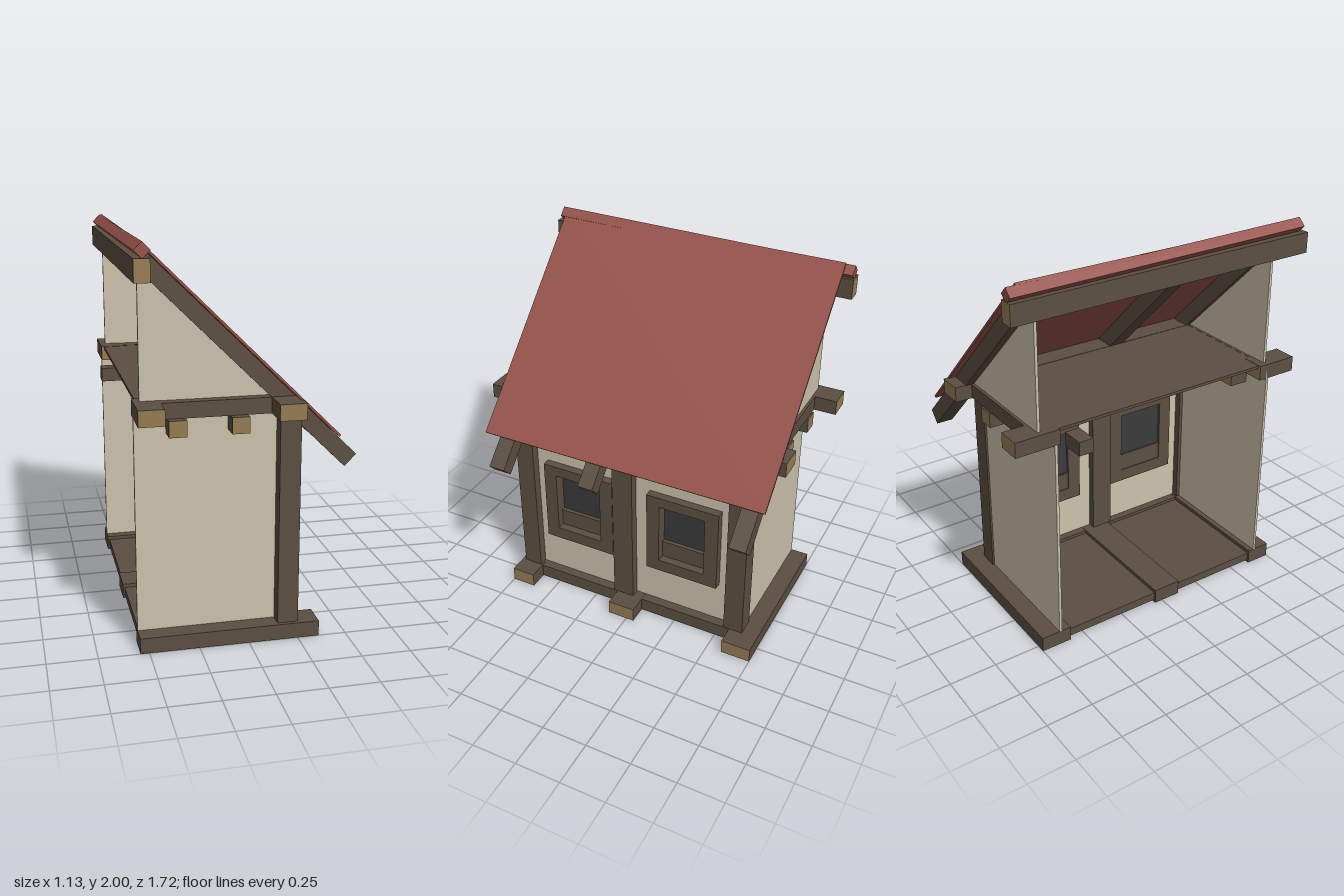
import * as THREE from 'three';

const mat = (name, color) => {
  const m = new THREE.MeshStandardMaterial({ color });
  m.name = name;
  return m;
};

export function createModel() {
  const model = new THREE.Group();
  model.name = 'timberHouse';
  const timber = mat('darkTimber', 0x5c4f42);
  const cutWood = mat('cutWood', 0x967c53);
  const plaster = mat('plaster', 0xcdc3ad);
  const roofRed = mat('roofRed', 0x95534a);
  const glass = mat('darkGlass', 0x3b3b3b);
  plaster.side = THREE.DoubleSide;

  // face order of a box: +x, -x, +y, -y, +z, -z
  const ends = (...light) => [0, 1, 2, 3, 4, 5].map(i => (light.includes(i) ? cutWood : timber));
  const add = (name, geometry, material) => {
    const mesh = new THREE.Mesh(geometry, material);
    mesh.name = name;
    model.add(mesh);
    return mesh;
  };
  // box given by its limits on each axis
  const box = (name, material, x0, x1, y0, y1, z0, z1) => {
    const mesh = add(name, new THREE.BoxGeometry(x1 - x0, y1 - y0, z1 - z0), material);
    mesh.position.set((x0 + x1) / 2, (y0 + y1) / 2, (z0 + z1) / 2);
    return mesh;
  };

  // base: three cross beams, a sill and the floor
  for (const [z0, z1] of [[0.615, 0.75], [-0.045, 0.11], [-0.75, -0.585]])
    box('baseBeam', ends(0), -0.545, 0.36, 0, 0.08, z0, z1);
  box('sill', timber, 0.15, 0.255, 0.002, 0.078, -0.7, 0.7);
  box('floor', timber, -0.535, 0.2, 0.015, 0.06, -0.7, 0.7);

  // posts along the eave side
  for (const [z0, z1] of [[0.625, 0.73], [0.01, 0.13], [-0.66, -0.55]])
    box('post', timber, 0.15, 0.255, 0.08, 1.17, z0, z1);

  // lower end walls
  box('endWall', plaster, -0.545, 0.17, 0.08, 1.235, 0.645, 0.66);
  box('endWall', plaster, -0.545, 0.17, 0.08, 1.235, -0.65, -0.635);

  // eave wall with two window holes; shape x stands for -z
  const windows = [[0.135, 0.56], [-0.495, -0.075]];
  const rect = (Type, a, b, c, d) => {
    const p = new Type();
    p.moveTo(a, c); p.lineTo(b, c); p.lineTo(b, d); p.lineTo(a, d); p.closePath();
    return p;
  };
  const extrudeX = (name, shape, depth, x, material) => {
    const mesh = add(name, new THREE.ExtrudeGeometry(shape, { depth, bevelEnabled: false }), material);
    mesh.rotation.y = Math.PI / 2;
    mesh.position.x = x;
    return mesh;
  };
  const wall = rect(THREE.Shape, -0.66, 0.6, 0.08, 1.18);
  for (const [z0, z1] of windows)
    wall.holes.push(rect(THREE.Path, -z1 + 0.04, -z0 - 0.04, 0.37, 0.79));
  extrudeX('eaveWall', wall, 0.015, 0.19, plaster);

  // window frames, lower boards and panes
  for (const [z0, z1] of windows) {
    const frame = rect(THREE.Shape, -z1, -z0, 0.33, 0.82);
    frame.holes.push(rect(THREE.Path, -z1 + 0.075, -z0 - 0.078, 0.4, 0.76));
    extrudeX('windowFrame', frame, 0.09, 0.16, timber);
    box('windowBoard', timber, 0.165, 0.205, 0.395, 0.5, z0 + 0.07, z1 - 0.07);
    box('windowPane', glass, 0.175, 0.183, 0.49, 0.765, z0 + 0.07, z1 - 0.07);
  }

  // upper floor with its beams and projecting ends
  box('upperFloor', timber, -0.53, 0.2, 1.228, 1.243, -0.725, 0.66);
  box('frontPlate', ends(4, 5), 0.11, 0.24, 1.165, 1.245, -0.83, 0.86);
  box('backBeamEnd', ends(4, 5), -0.545, -0.42, 1.165, 1.245, 0.6, 0.825);
  box('backBeamEnd', ends(4, 5), -0.545, -0.42, 1.165, 1.245, -0.86, -0.62);
  box('endBeam', timber, -0.42, 0.11, 1.165, 1.244, 0.63, 0.71);
  box('endBeam', timber, -0.42, 0.11, 1.165, 1.244, -0.74, -0.64);
  for (const x of [-0.348, -0.047])
    for (const s of [1, -1])
      box('joistEnd', ends(4, 5), x - 0.043, x + 0.043, 1.085, 1.166, s * 0.645 - 0.105, s * 0.645 + 0.105);
  box('crossJoist', timber, -0.565, -0.44, 1.08, 1.155, -0.53, -0.45);
  box('crossJoist', timber, 0.1, 0.285, 1.08, 1.155, 0.03, 0.11);

  // upper gable walls
  const gable = new THREE.Shape([[-0.515, 1.235], [0.16, 1.235], [-0.515, 1.91]].map(p => new THREE.Vector2(...p)));
  for (const z of [0.645, -0.725])
    add('gable', new THREE.ExtrudeGeometry(gable, { depth: 0.015, bevelEnabled: false }), plaster).position.z = z;

  // sloping parts run from xa to xb on the line y = c - 0.99x
  const slope = (name, material, xa, xb, c, thick, z0, z1) => {
    const length = (xb - xa) * Math.hypot(1, 0.99);
    const mesh = add(name, new THREE.BoxGeometry(length, thick, z1 - z0), material);
    mesh.rotation.z = -Math.atan(0.99);
    const x = (xa + xb) / 2;
    mesh.position.set(x, c - 0.99 * x, (z0 + z1) / 2);
  };
  for (const [xb, z0, z1] of [[0.51, 0.62, 0.71], [0.485, 0.1, 0.185], [0.535, -0.77, -0.68]])
    slope('rafter', ends(0), -0.52, xb, 1.41, 0.083, z0, z1);
  slope('roof', roofRed, -0.51, 0.425, 1.479, 0.012, -0.805, 0.797);

  // ridge beam and ridge cap, both leaning slightly along their length
  box('ridgeBeam', ends(4, 5), -0.555, -0.48, 1.815, 1.922, -0.86, 0.845).rotation.x = -0.007;
  const cap = add('ridgeCap', new THREE.BoxGeometry(0.055, 0.055, 1.675), roofRed);
  cap.position.set(-0.512, 1.951, -0.017);
  cap.rotation.set(-0.012, 0, Math.PI / 4);

  return model;
}
